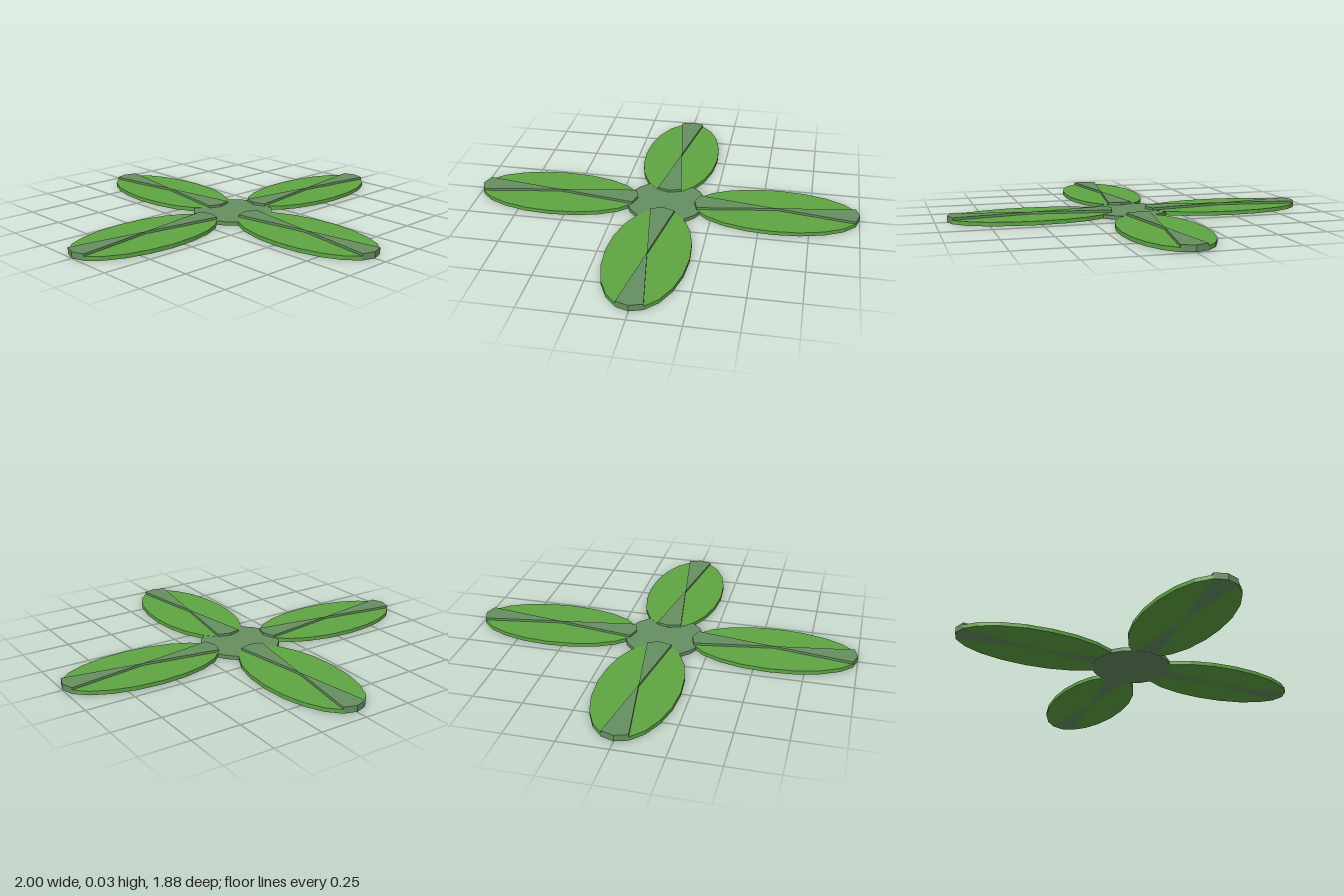
import * as THREE from 'three';

const leafGreen = new THREE.MeshStandardMaterial({ color: 0x5fa544, flatShading: true });
const ribGreen = new THREE.MeshStandardMaterial({ color: 0x668f60, flatShading: true });
const SIDES = 20;

// Flat slab lying on the ground plane, extruded upwards from y0 to y1
function slab(name, points, y0, y1, material) {
  const geometry = new THREE.ExtrudeGeometry(new THREE.Shape(points), { depth: y1 - y0, bevelEnabled: false });
  geometry.rotateX(-Math.PI / 2).translate(0, y0, 0);
  const mesh = new THREE.Mesh(geometry, material);
  mesh.name = name;
  return mesh;
}

// Points of a 20-sided ellipse, from step a to step b
function arc(rx, ry, a, b) {
  const points = [];
  for (let i = a; i <= b; i++) {
    const t = (i / SIDES) * Math.PI * 2;
    points.push(new THREE.Vector2(rx * Math.cos(t), ry * Math.sin(t)));
  }
  return points;
}

// Leaf along +x: two green side lobes and a raised bow-tie rib of two wedges
function makeLeaf(length, width) {
  const leaf = new THREE.Group();
  const half = SIDES / 2;
  const centre = new THREE.Vector2(0, 0);
  for (const start of [0, half]) {
    const lobe = [centre, ...arc(length, width, start + 1, start + half - 1)];
    const wedge = [centre, ...arc(length, width, start - 1, start + 1)];
    leaf.add(slab('leafLobe', lobe, 0.001, 0.021, leafGreen));
    leaf.add(slab('leafRib', wedge, 0.001, 0.033, ribGreen));
  }
  return leaf;
}

export function createModel() {
  const model = new THREE.Group();
  model.name = 'fourLeafRosette';

  // Central disc
  model.add(slab('centreDisc', arc(0.205, 0.205, 0, SIDES - 1), 0, 0.02, ribGreen));

  // Four leaves in a cross; the front and back pair sit a little closer in
  for (let i = 0; i < 4; i++) {
    const sideways = i % 2 === 0;
    const leaf = makeLeaf(0.425, 0.206);
    leaf.name = ['leftLeaf', 'backLeaf', 'rightLeaf', 'frontLeaf'][i];
    const angle = (i * Math.PI) / 2;
    const distance = sideways ? 0.575 : 0.515;
    leaf.position.set(Math.cos(angle) * distance, 0, -Math.sin(angle) * distance);
    leaf.rotation.y = angle;
    model.add(leaf);
  }
  return model;
}
